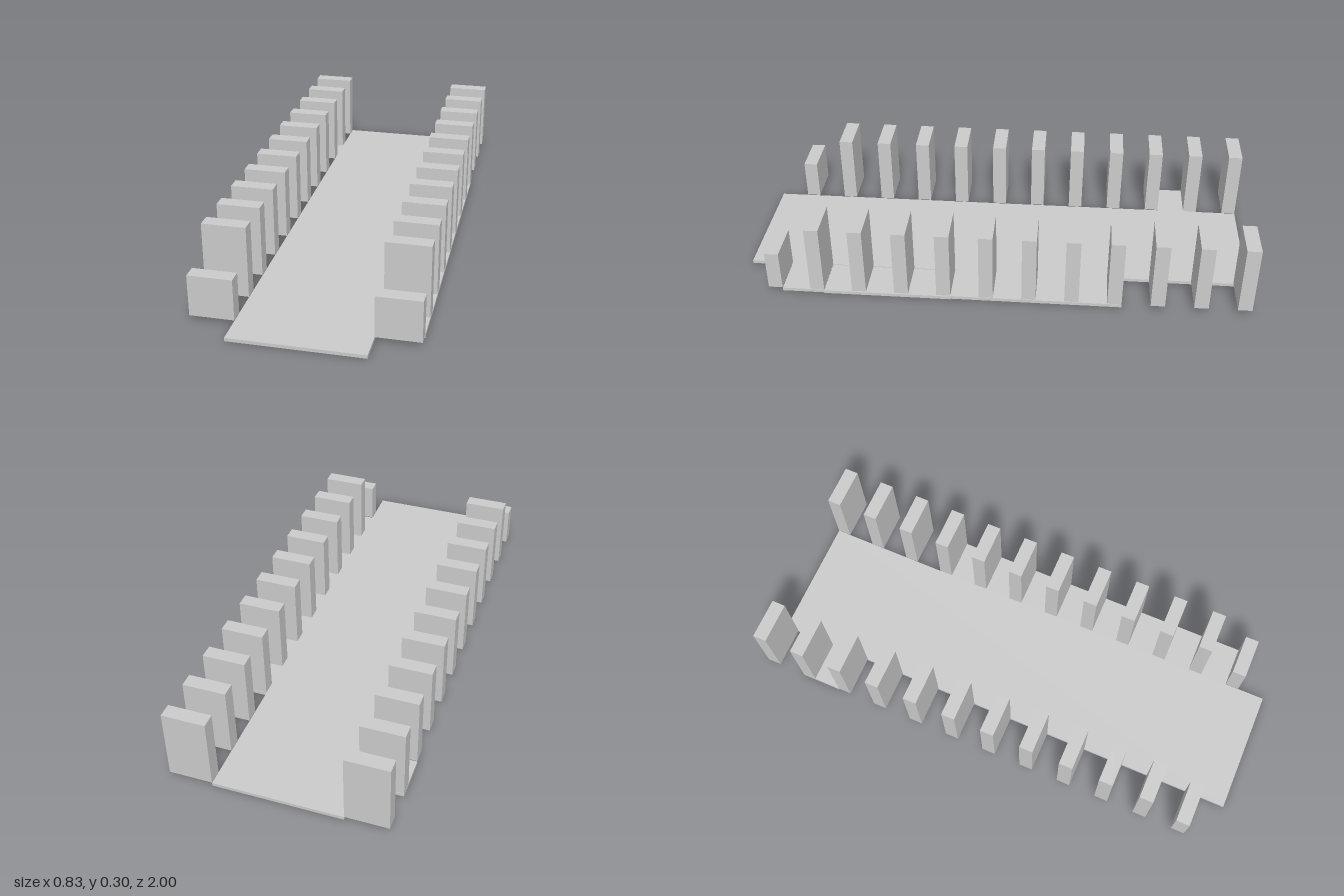
import * as THREE from 'three';

const material = new THREE.MeshStandardMaterial({ color: 0xcccccc, flatShading: true });
const CELL = 1 / 6;      // spacing of the pillars and width of the side strips
const HALF = 0.25;       // half width of the walkway
const BASE = 0.018;      // underside of the pillars

// Box given by its extents along each axis
function block(name, [x0, x1], [y0, y1], [z0, z1]) {
  const geometry = new THREE.BoxGeometry(x1 - x0, y1 - y0, z1 - z0);
  const mesh = new THREE.Mesh(geometry, material);
  mesh.position.set((x0 + x1) / 2, (y0 + y1) / 2, (z0 + z1) / 2);
  mesh.name = name;
  return mesh;
}

export function createModel() {
  const model = new THREE.Group();
  model.name = 'walkway';
  const left = [HALF, HALF + CELL];
  const right = [-HALF - CELL, -HALF];

  // Central walkway
  model.add(block('floor', [-HALF, HALF], [0.003, 0.016], [-1, 1]));

  // Side strips: three along the left, the middle one slightly lower, and one short one on the right
  model.add(block('leftStripBack', left, [0.003, 0.016], [-3 * CELL, CELL]));
  model.add(block('leftStripMiddle', left, [0, 0.013], [CELL, 4 * CELL]));
  model.add(block('leftStripFront', left, [0.003, 0.016], [4 * CELL, 5 * CELL]));
  model.add(block('rightStrip', right, [0.003, 0.016], [-5 * CELL, -4 * CELL]));

  // Two rows of pillars, the front pair shorter
  for (const [name, span] of [['leftPillars', left], ['rightPillars', right]]) {
    const row = new THREE.Group();
    row.name = name;
    for (let i = 0; i < 12; i++) {
      const z = -1 + i * CELL;
      const top = i === 11 ? 0.178 : 0.298;
      row.add(block('pillar', span, [BASE, top], [z, z + CELL / 3]));
    }
    model.add(row);
  }
  return model;
}
